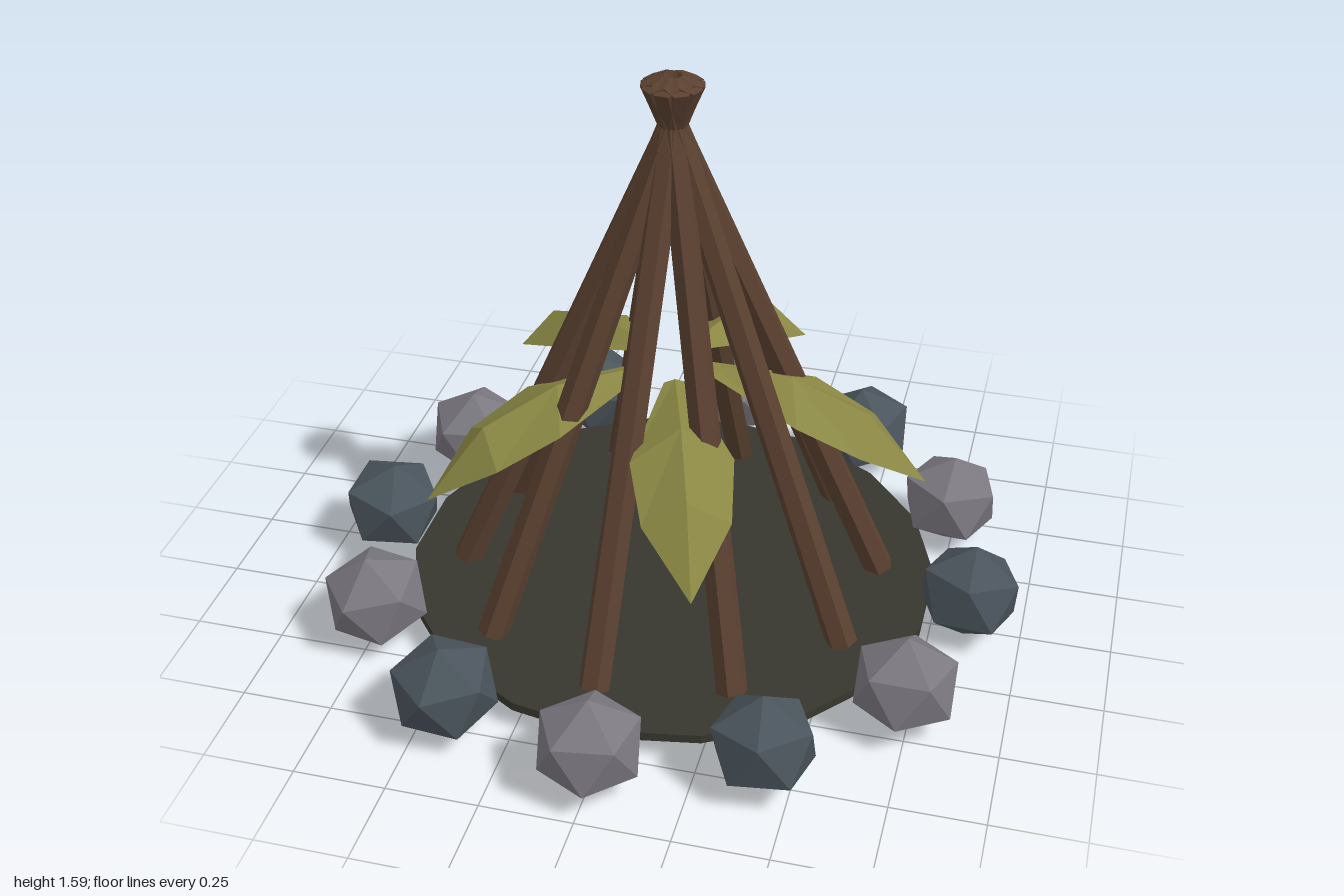
import * as THREE from 'three';

const flat = (name, color, extra = {}) => {
  const m = new THREE.MeshStandardMaterial({ color, flatShading: true, ...extra });
  m.name = name;
  return m;
};

// Folded leaf growing along +x: a ridge with two drooping edges
function leafGeometry() {
  // [ridge r, ridge y, edge r, edge y, half width]
  const sections = [
    [0.10, 0.77, 0.10, 0.76, 0.03],
    [0.33, 0.765, 0.37, 0.69, 0.135],
    [0.54, 0.68, 0.54, 0.61, 0.115],
    [0.704, 0.49, 0.704, 0.49, 0],
  ];
  const pos = [];
  for (let i = 0; i < sections.length - 1; i++) {
    for (const side of [1, -1]) {
      const ridge = ([r, y]) => [r, y, 0];
      const edge = ([, , r, y, w]) => [r, y, w * side];
      const a = ridge(sections[i]), b = ridge(sections[i + 1]);
      const c = edge(sections[i + 1]), d = edge(sections[i]);
      const tris = side > 0 ? [a, d, c, a, c, b] : [a, c, d, a, b, c];
      pos.push(...tris.flat());
    }
  }
  const g = new THREE.BufferGeometry();
  g.setAttribute('position', new THREE.Float32BufferAttribute(pos, 3));
  g.computeVertexNormals();
  return g;
}

export function createModel() {
  const model = new THREE.Group();
  model.name = 'campfire';
  const wood = flat('wood brown', 0x5a4030);
  const leafGreen = flat('leaf olive', 0x8a8744, { side: THREE.DoubleSide });
  const paleStone = flat('pale stone', 0x7b7880);
  const darkStone = flat('dark stone', 0x4a545c);
  const ash = flat('ash', 0x38372e);

  let seed = 7;
  const rand = () => ((seed = (seed * 16807) % 2147483647) / 2147483647) * 2 - 1;

  const add = (name, geometry, material, parent = model) => {
    const mesh = new THREE.Mesh(geometry, material);
    mesh.name = name;
    parent.add(mesh);
    return mesh;
  };

  // Ash bed
  add('ashBed', new THREE.CylinderGeometry(0.745, 0.745, 0.025, 18), ash).position.y = 0.08;

  // Ten leaning poles that cross just below their tops
  const bottom = new THREE.Vector2(0.59, 0.09), top = new THREE.Vector2(-0.052, 1.59);
  const poleGeo = new THREE.CylinderGeometry(0.037, 0.043, bottom.distanceTo(top), 6);
  for (let i = 0; i < 10; i++) {
    const arm = new THREE.Group();
    arm.name = 'poleArm';
    arm.rotation.y = -THREE.MathUtils.degToRad(24.3 + 36 * i);
    const pole = add('pole', poleGeo, wood, arm);
    pole.position.set((bottom.x + top.x) / 2, (bottom.y + top.y) / 2, 0);
    pole.rotation.z = Math.atan2(bottom.x - top.x, top.y - bottom.y);
    model.add(arm);
  }

  // Five leaves around the poles
  const leafGeo = leafGeometry();
  for (let i = 0; i < 5; i++) add('leaf', leafGeo, leafGreen).rotation.y = (i * Math.PI * 2) / 5;

  // Ring of twelve stones in alternating colours, each with a corner on top
  const stoneGeo = new THREE.IcosahedronGeometry(0.14, 0);
  stoneGeo.rotateZ(Math.atan(2 / (1 + Math.sqrt(5))));
  stoneGeo.scale(1.08, 0.98, 1.08);
  for (let i = 0; i < 12; i++) {
    const a = (i * Math.PI) / 6;
    const stone = add('stone', stoneGeo, i % 2 ? paleStone : darkStone);
    stone.position.set(0.85 * Math.cos(a), 0.147, 0.855 * Math.sin(a));
    stone.rotation.set(rand() * 0.15, -a + rand() * 0.4, rand() * 0.15);
  }
  return model;
}
